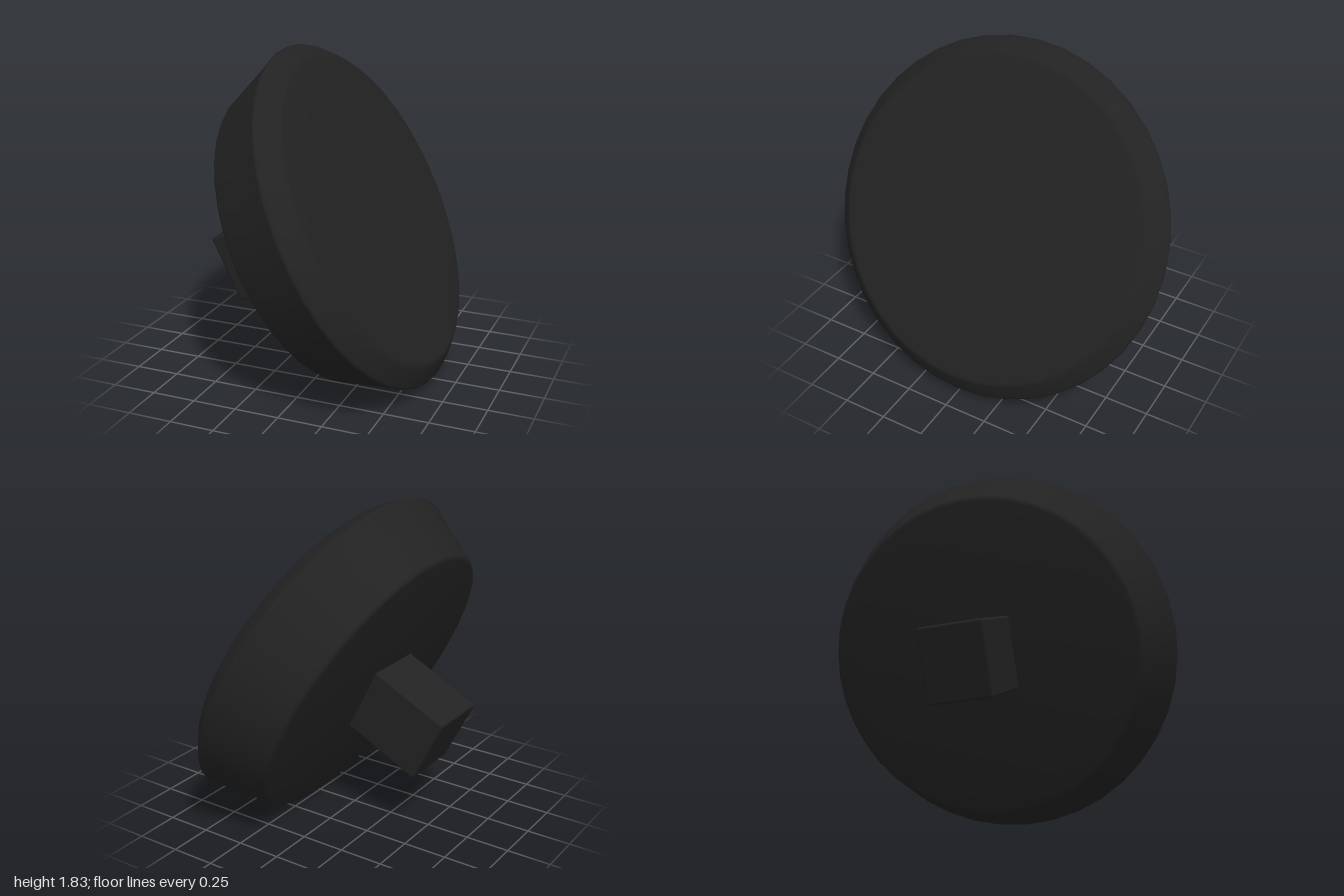
import * as THREE from 'three';
import { RoundedBoxGeometry } from 'three/addons/geometries/RoundedBoxGeometry.js';

export function createModel() {
  const model = new THREE.Group();
  const black = new THREE.MeshStandardMaterial({ color: 0x222222 });
  black.name = 'matteBlack';

  // Local y is the knob's axis, tilted towards +x
  const knob = new THREE.Group();
  knob.name = 'tiltedKnob';
  knob.position.set(-0.13, 0.78, 0);
  knob.rotation.z = THREE.MathUtils.degToRad(-63.3);
  model.add(knob);

  // Flared disc: shallow domes on both faces, softly bevelled edges
  const profile = [
    [0, -0.05], [0.25, -0.045], [0.5, -0.033], [0.72, -0.017], [0.845, -0.004],
    [0.862, 0.002], [0.873, 0.018],
    [0.93, 0.175], [0.988, 0.33],
    [0.997, 0.345], [1, 0.357], [0.993, 0.37],
    [0.955, 0.41], [0.915, 0.448],
    [0.902, 0.457], [0.885, 0.461],
    [0.7, 0.469], [0.45, 0.477], [0.2, 0.482], [0, 0.483],
  ].map(([r, y]) => new THREE.Vector2(r, y));
  const disc = new THREE.Mesh(new THREE.LatheGeometry(profile, 40), black);
  disc.name = 'disc';
  knob.add(disc);

  // Block stem behind the disc, slightly sunk into it
  const stem = new THREE.Mesh(new RoundedBoxGeometry(0.4, 0.61, 0.36, 3, 0.014), black);
  stem.name = 'stem';
  stem.position.y = -0.205;
  knob.add(stem);

  return model;
}
